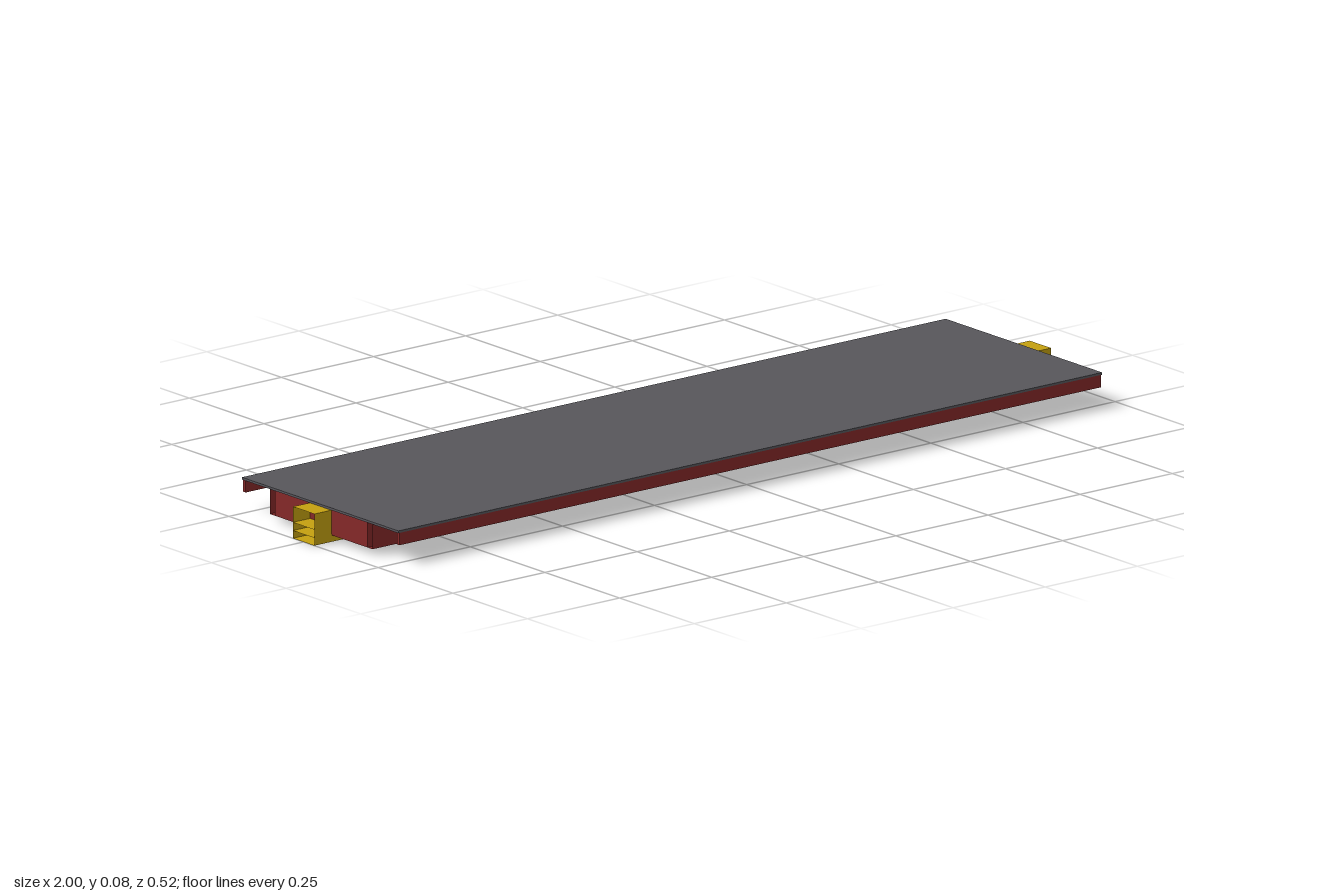
import * as THREE from 'three';

const paint = (color) => new THREE.MeshStandardMaterial({ color, side: THREE.DoubleSide, flatShading: true });

export function createModel() {
  const model = new THREE.Group();
  const grey = paint(0x57565b), red = paint(0x852828), yellow = paint(0xc4a010);

  // box given by its limits on each axis
  const box = (name, mat, [x0, x1], [y0, y1], [z0, z1]) => {
    const mesh = new THREE.Mesh(new THREE.BoxGeometry(x1 - x0, y1 - y0, z1 - z0), mat);
    mesh.position.set((x0 + x1) / 2, (y0 + y1) / 2, (z0 + z1) / 2);
    mesh.name = name;
    model.add(mesh);
  };
  const around = (c, w) => [c - w / 2, c + w / 2];

  // sheet swept across z between two points of a side profile
  const sheet = (parent, name, mat, [xa, ya], [xb, yb], z0, z1) => {
    const g = new THREE.PlaneGeometry(Math.hypot(xb - xa, yb - ya), z1 - z0);
    g.rotateX(-Math.PI / 2);
    g.rotateZ(Math.atan2(yb - ya, xb - xa));
    g.translate((xa + xb) / 2, (ya + yb) / 2, (z0 + z1) / 2);
    const mesh = new THREE.Mesh(g, mat);
    mesh.name = name;
    parent.add(mesh);
  };

  // deck
  box('deck', grey, [-0.955, 0.955], [0.073, 0.078], [-0.262, 0.262]);

  for (const s of [-1, 1]) {
    // side rail
    box('sideRail', red, [-0.952, 0.952], [0.046, 0.073], around(s * 0.2575, 0.009));

    // main sill: hollow beam with open ends
    const sill = new THREE.Group();
    sill.name = 'mainSill';
    for (const z of [0.155, 0.172]) {
      const web = new THREE.Mesh(new THREE.PlaneGeometry(1.904, 0.056), red);
      web.position.set(0, 0.045, s * z);
      web.name = 'sillWeb';
      sill.add(web);
    }
    const [z0, z1] = s > 0 ? [0.155, 0.172] : [-0.172, -0.155];
    sheet(sill, 'sillFlange', red, [-0.952, 0.017], [0.952, 0.017], z0, z1);
    model.add(sill);

    // outriggers from sill to side rail
    for (const x of [-0.75, -0.31, 0, 0.31, 0.75])
      box('outrigger', red, around(x, 0.016), [0.046, 0.073], around(s * 0.2125, 0.081));

    // end beam and bolster
    box('endBeam', red, around(s * 0.942, 0.02), [0.017, 0.073], [-0.155, 0.155]);
    box('bolster', red, around(s * 0.5, 0.055), [0.018, 0.073], [-0.155, 0.155]);
  }

  // cross bars between the sills
  for (const x of [-0.83, -0.72, -0.3, -0.15, 0, 0.15, 0.3, 0.72, 0.83])
    box('crossBar', red, around(x, 0.016), [0.046, 0.073], [-0.155, 0.155]);

  // coupler: notched housing with a sloped back and open ends
  const profile = [[0.845, 0.003], [1, 0.003], [1, 0.0725], [0.953, 0.0725], [0.953, 0.02],
    [0.93, 0.02], [0.93, 0.0725], [0.888, 0.0725], [0.845, 0.038]];
  const side = new THREE.ShapeGeometry(new THREE.Shape(profile.map(([x, y]) => new THREE.Vector2(x, y))));
  for (const turn of [0, Math.PI]) {
    const coupler = new THREE.Group();
    coupler.name = 'coupler';
    for (const z of [-0.036, 0.036]) {
      const cheek = new THREE.Mesh(side, yellow);
      cheek.position.z = z;
      cheek.name = 'couplerCheek';
      coupler.add(cheek);
    }
    for (const i of [0, 2, 4, 6, 7])
      sheet(coupler, 'couplerPlate', yellow, profile[i], profile[i + 1], -0.036, 0.036);
    for (const y of [0.02, 0.038])
      sheet(coupler, 'couplerShelf', yellow, [0.953, y], [1, y], -0.036, 0.036);
    coupler.rotation.y = turn;
    model.add(coupler);
  }
  return model;
}
